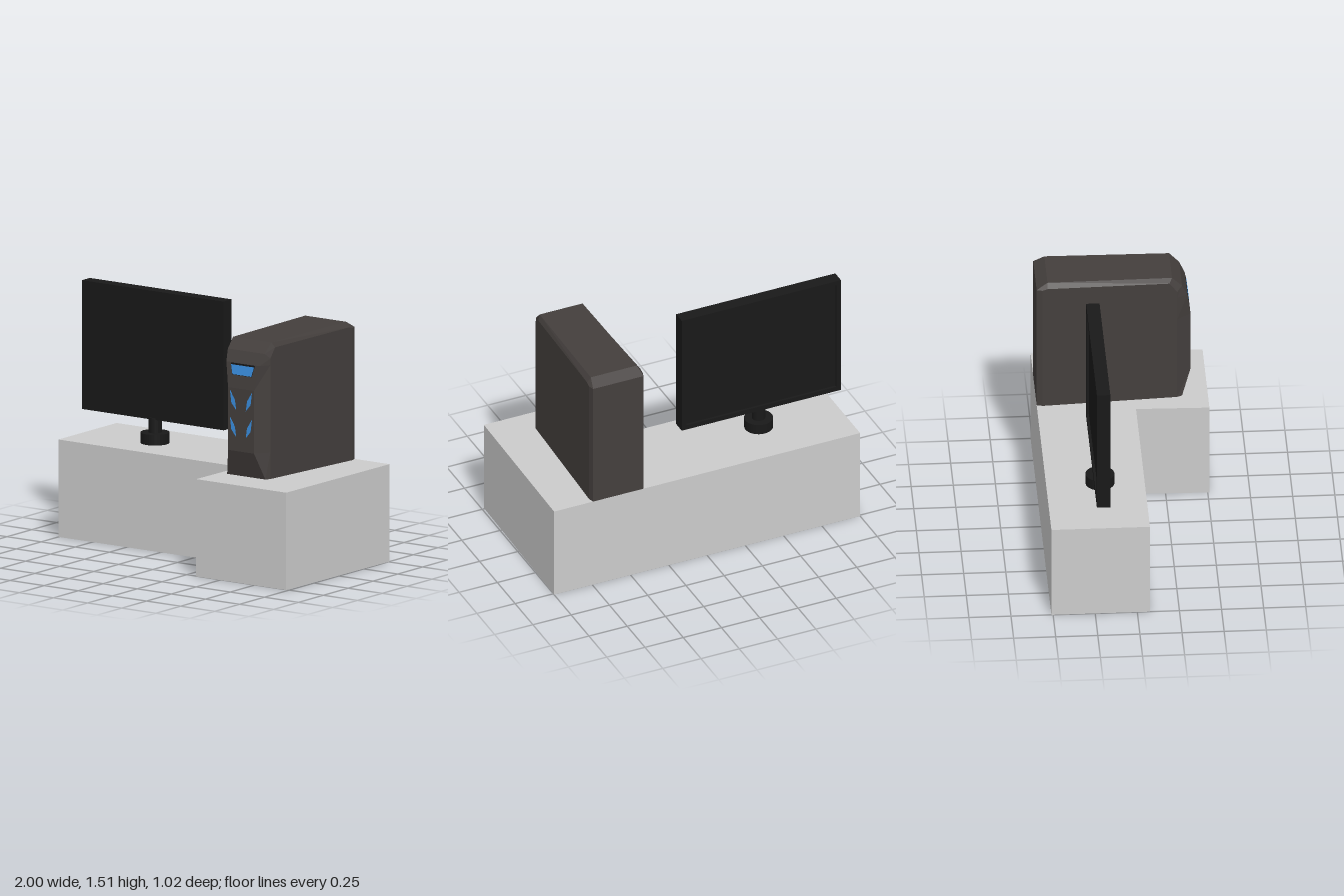
import * as THREE from 'three';

const paint = (color) => new THREE.MeshStandardMaterial({ color, flatShading: true });

function add(parent, name, geometry, material, x = 0, y = 0, z = 0) {
  const mesh = new THREE.Mesh(geometry, material);
  mesh.name = name;
  mesh.position.set(x, y, z);
  parent.add(mesh);
  return mesh;
}

const polygon = (points) => new THREE.Shape(points.map(([x, y]) => new THREE.Vector2(x, y)));
const slab = (points, depth) => new THREE.ExtrudeGeometry(polygon(points), { depth, bevelEnabled: false });

// Tower case: side profiles lofted from the left flank to the right flank
function caseGeometry() {
  // spine edge: z, y, half width
  const spine = [
    [-0.51, 0.59, 0.165], [-0.51, 1.39, 0.165], [-0.445, 1.43, 0.15],
    [0.295, 1.43, 0.14], [0.355, 1.37, 0.135], [0.388, 1.3, 0.122],
    [0.408, 1.15, 0.095], [0.408, 0.77, 0.095], [0.355, 0.61, 0.14],
  ];
  // flank edge: z, y, with the case narrowing toward the front
  const flank = [
    [-0.475, 0.59], [-0.475, 1.39], [-0.445, 1.4], [0.28, 1.4], [0.325, 1.34],
    [0.325, 1.3], [0.325, 1.15], [0.325, 0.77], [0.325, 0.61],
  ].map(([z, y]) => [z, y, 0.175 - (z + 0.475) * 0.025]);

  const rings = [[flank, 1], [spine, 1], [spine, -1], [flank, -1]];
  const positions = rings.flatMap(([ring, side]) => ring.flatMap(([z, y, h]) => [side * h, y, z]));
  const n = spine.length;
  const index = [];
  for (let r = 0; r < 3; r++) {
    for (let i = 0; i < n; i++) {
      const j = (i + 1) % n;
      const a = r * n, b = a + n;
      index.push(a + i, b + i, b + j, a + i, b + j, a + j);
    }
  }
  for (let i = 1; i < n - 1; i++) {
    index.push(0, i, i + 1);
    index.push(3 * n, 3 * n + i + 1, 3 * n + i);
  }
  const geometry = new THREE.BufferGeometry();
  geometry.setAttribute('position', new THREE.Float32BufferAttribute(positions, 3));
  geometry.setIndex(index);
  const flat = geometry.toNonIndexed();
  flat.computeVertexNormals();
  return flat;
}

function createTower() {
  const tower = new THREE.Group();
  tower.name = 'computerTower';
  tower.position.x = 0.58;
  const blue = paint(0x3a8fe0);
  add(tower, 'towerCase', caseGeometry(), paint(0x443f3d));

  // Display window on the sloping upper front
  const display = new THREE.Group();
  display.name = 'display';
  display.position.set(0, 1.26, 0.3935);
  display.rotation.x = -0.133;
  tower.add(display);
  add(display, 'displayFrame', slab([[-0.088, 0.038], [-0.07, -0.032], [0.07, -0.032], [0.088, 0.038]], 0.002), paint(0x151515));
  add(display, 'displayPanel', slab([[-0.084, 0.028], [-0.069, -0.03], [0.069, -0.03], [0.084, 0.028]], 0.003), blue);

  // Two mirrored pairs of slanted lights
  for (const side of [-1, 1]) {
    for (const y of [1.08, 0.917]) {
      const points = [[0.08, 0.055], [0.045, 0], [0.036, -0.06], [0.07, -0.02]].map(([x, v]) => [side * x, v]);
      add(tower, 'slantedLight', slab(points, 0.003), blue, 0, y, 0.407);
    }
  }
  return tower;
}

function createMonitor() {
  const monitor = new THREE.Group();
  monitor.name = 'monitor';
  const black = paint(0x191919);

  // Screen housing with a shallow recess at the back
  add(monitor, 'screen', new THREE.BoxGeometry(1.04, 0.78, 0.065), black, -0.48, 1.125, -0.1925);
  const rim = polygon([[-0.52, -0.39], [0.52, -0.39], [0.52, 0.39], [-0.52, 0.39]]);
  rim.holes.push(polygon([[-0.49, -0.36], [-0.49, 0.36], [0.49, 0.36], [0.49, -0.36]]));
  const rimGeometry = new THREE.ExtrudeGeometry(rim, { depth: 0.015, bevelEnabled: false });
  add(monitor, 'backRim', rimGeometry, black, -0.48, 1.125, -0.24);

  // Stand
  add(monitor, 'standBase', new THREE.CylinderGeometry(0.086, 0.086, 0.065, 32), black, -0.485, 0.622, -0.19);
  add(monitor, 'standNeck', new THREE.CylinderGeometry(0.04, 0.04, 0.1, 24), black, -0.485, 0.695, -0.19);
  return monitor;
}

export function createModel() {
  const model = new THREE.Group();
  model.name = 'deskWithComputer';

  // L-shaped desk block, outlined in plan as x, -z
  const outline = [[-1, -0.075], [0.335, -0.075], [0.325, -0.51], [0.985, -0.51], [1, 0.51], [-1, 0.51]];
  const desk = slab(outline, 0.59);
  desk.rotateX(-Math.PI / 2);
  add(model, 'desk', desk, paint(0xcccccc));

  model.add(createMonitor(), createTower());
  return model;
}
